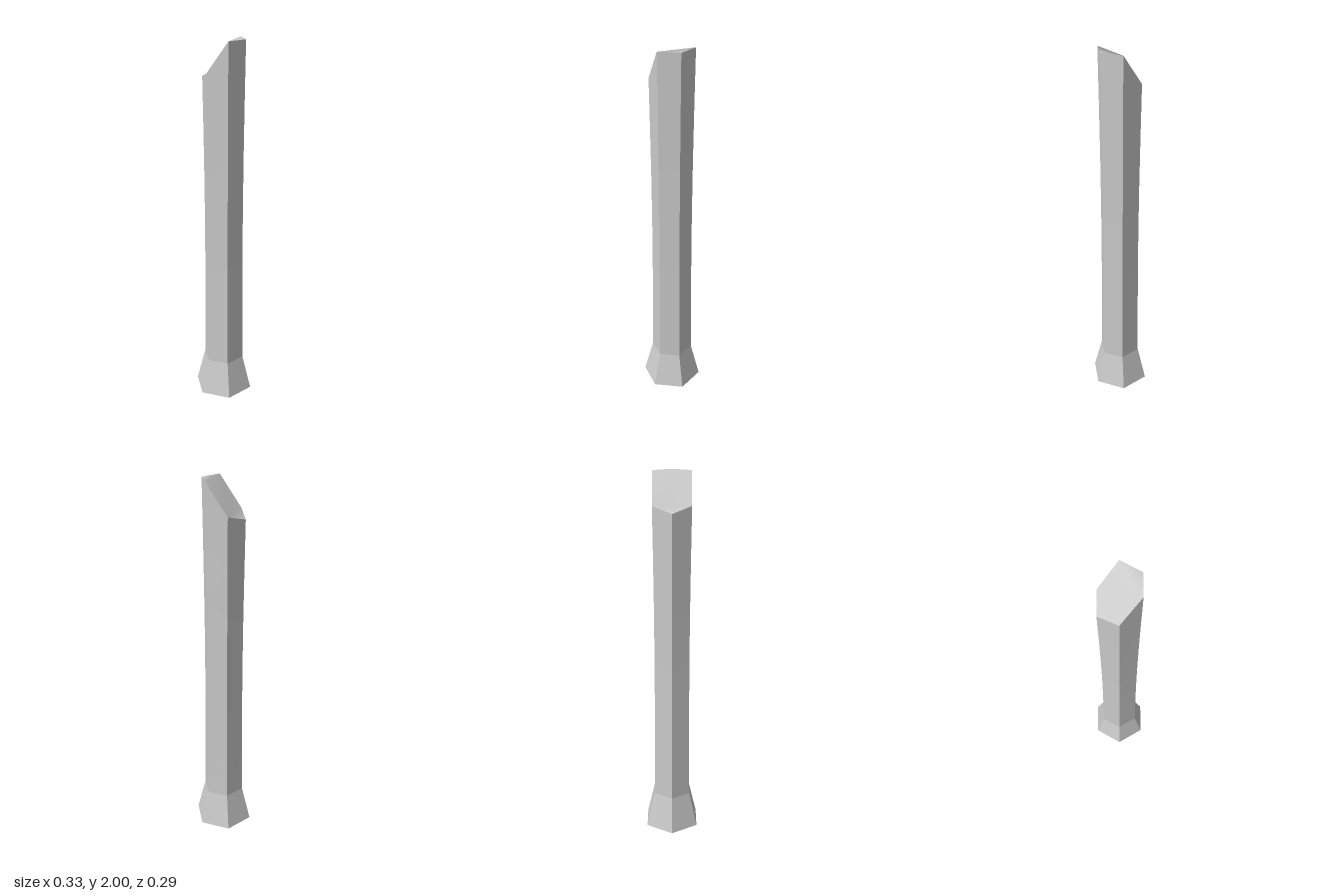
import * as THREE from 'three';

const SIDES = 6;

// Corners of a hexagonal ring with points on +x and -x; height may depend on x
function ring(radius, height) {
  return Array.from({ length: SIDES }, (_, i) => {
    const a = (i / SIDES) * Math.PI * 2;
    const x = Math.cos(a) * radius;
    return [x, height(Math.round(Math.cos(a) * 2)), Math.sin(a) * radius];
  });
}

function makeGeometry(points, index) {
  const g = new THREE.BufferGeometry();
  g.setAttribute('position', new THREE.Float32BufferAttribute(points.flat(), 3));
  g.setIndex(index);
  g.computeVertexNormals();
  return g;
}

// Walls joining successive rings, bottom to top
function loft(rings) {
  const index = [];
  for (let r = 0; r < rings.length - 1; r++) {
    for (let i = 0; i < SIDES; i++) {
      const j = (i + 1) % SIDES;
      const a = r * SIDES + i, b = r * SIDES + j;
      index.push(a, a + SIDES, b, b, a + SIDES, b + SIDES);
    }
  }
  return makeGeometry(rings.flat(), index);
}

export function createModel() {
  const group = new THREE.Group();
  group.name = 'hexagonalColumn';
  const flat = new THREE.MeshStandardMaterial({ color: 0xcccccc, flatShading: true });
  const smooth = new THREE.MeshStandardMaterial({ color: 0xcccccc });
  const add = (name, geometry, material) => {
    const mesh = new THREE.Mesh(geometry, material);
    mesh.name = name;
    group.add(mesh);
  };

  // Slanted cut: corner heights by column, from the -x point to the +x point
  const cut = { '-2': 1.81, '-1': 1.84, '1': 2, '2': 2 };
  const foot = ring(0.165, () => 0);
  const neck = ring(0.115, () => 0.2);
  const top = ring(0.115, (k) => cut[k]);

  // Shaft with a slight waist
  const steps = 6;
  const shaft = [neck];
  for (let s = 1; s < steps; s++) {
    const t = s / steps;
    const radius = 0.115 - 0.007 * Math.sin(Math.PI * t);
    shaft.push(ring(radius, (k) => 0.2 + (cut[k] - 0.2) * t));
  }
  shaft.push(top);

  add('flaredBase', loft([foot, neck]), flat);
  add('shaft', loft(shaft), flat);
  // Bent cap: low triangle, sloping quad, level triangle
  add('slantedTop', makeGeometry(top, [3, 2, 4, 4, 2, 1, 4, 1, 5, 5, 1, 0]), smooth);
  add('underside', makeGeometry(foot, [0, 1, 2, 0, 2, 3, 0, 3, 4, 0, 4, 5]), flat);
  return group;
}
